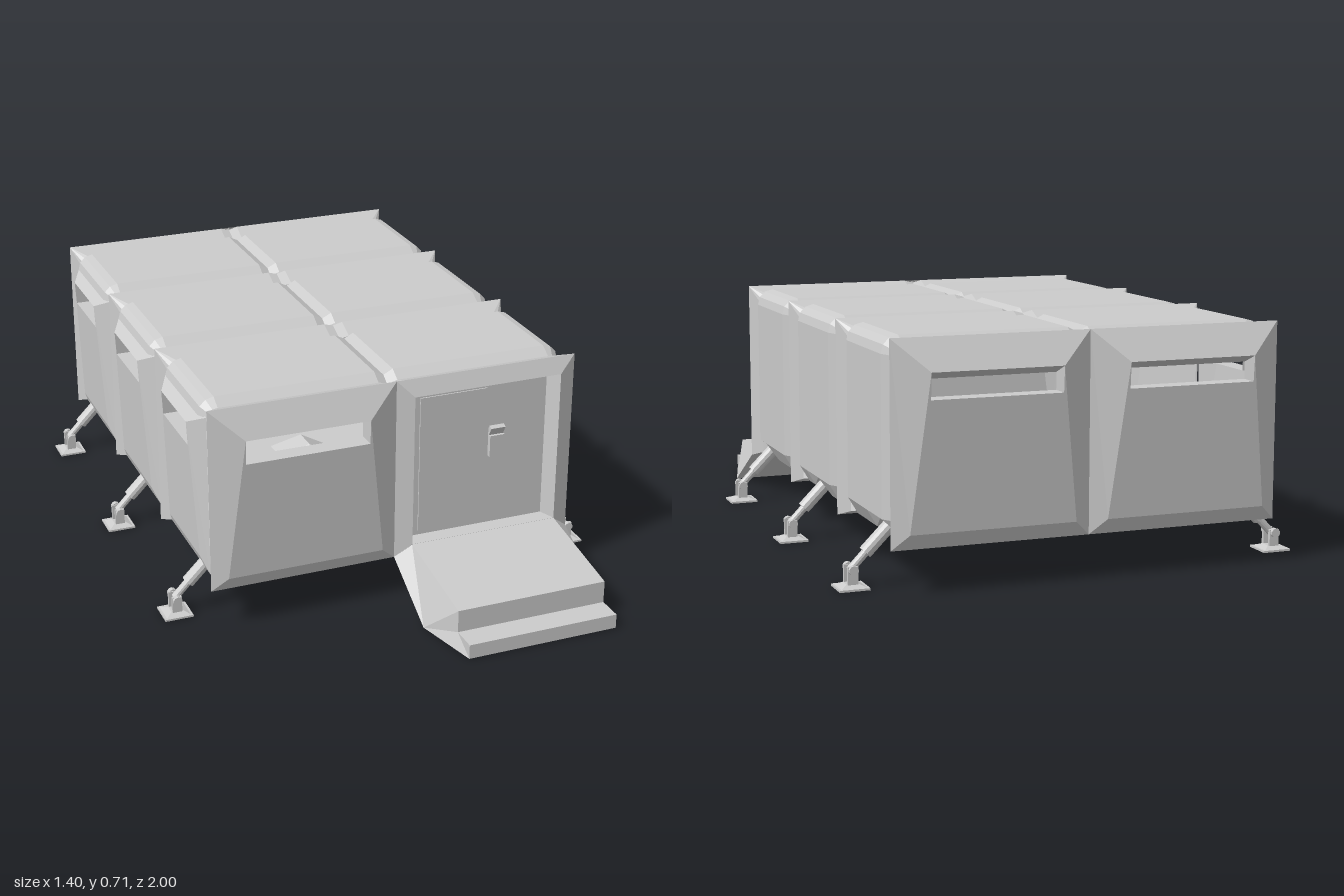
import * as THREE from 'three';

const material = new THREE.MeshStandardMaterial({ color: 0xcccccc, flatShading: true, side: THREE.DoubleSide });

function mesh(name, geometry, x = 0, y = 0, z = 0) {
  const m = new THREE.Mesh(geometry, material);
  m.name = name;
  m.position.set(x, y, z);
  return m;
}

// Flat-faced geometry from convex polygons of [x, y, z] corners
function faces(polygons) {
  const out = [];
  for (const p of polygons) {
    for (let i = 1; i < p.length - 1; i++) out.push(...p[0], ...p[i], ...p[i + 1]);
  }
  const g = new THREE.BufferGeometry();
  g.setAttribute('position', new THREE.Float32BufferAttribute(out, 3));
  g.computeVertexNormals();
  return g;
}

// Quads joining two loops of equal length
function band(a, b, closed = true) {
  const quads = [];
  for (let i = 0; i < a.length - (closed ? 0 : 1); i++) {
    const j = (i + 1) % a.length;
    quads.push([a[i], a[j], b[j], b[i]]);
  }
  return quads;
}

function loft(rings, closed) {
  return faces(rings.slice(1).flatMap((r, i) => band(rings[i], r, closed)));
}

const rect = (x0, x1, y0, y1, z) => [[x0, y0, z], [x1, y0, z], [x1, y1, z], [x0, y1, z]];

// Rounded corner, from the side up to the roof on the left (+x)
function corner(hx, yt, r) {
  return [0, 1, 2, 3].map(i => {
    const a = i * Math.PI / 6;
    return [hx - r + r * Math.cos(a), yt - r + r * Math.sin(a)];
  });
}

// Open section of a bay: floor, left wall and roof; dip raises the strut pockets
function baySection(z, hx, yt, r, dip) {
  const yb = 0.15, yp = yb + 0.05 * dip;
  const c = corner(hx, yt, r);
  const pts = [
    [-0.565, yp], [-0.47, yb], [-0.09, yb], [0, yp], [0.09, yb], [0.47, yb],
    [hx - 0.03, yp], [hx, yb + 0.05], ...c,
    [0.03, yt], [0, yt - 0.015], [-0.03, yt],
    ...c.slice().reverse().map(([x, y]) => [-x, y]),
  ];
  return pts.map(([x, y]) => [x, y, z]);
}

// Closed section of a rib
function ribSection(z, hx, yb, yt, r) {
  const c = corner(hx, yt, r);
  return [[-hx, yb], [hx, yb], ...c, [0.03, yt], [0, yt - 0.008], [-0.03, yt],
    ...c.slice().reverse().map(([x, y]) => [-x, y])].map(([x, y]) => [x, y, z]);
}
const ribValley = z => ribSection(z, 0.56, 0.15, 0.685, 0.03);
const ribPeak = z => ribSection(z, 0.585, 0.13, 0.71, 0.001);

// Bulged wall panel with a slot window under its brow; faces +z, base at y = 0
function windowPanel(name, o) {
  const w = o.w / 2, wt = w - o.insetTop, wb = w - o.insetBottom, yt = o.h - o.brow;
  const yb = 0.045, yw = yt - 0.075;
  const dw = o.depthBottom + (o.depthTop - o.depthBottom) * (yw - yb) / (yt - yb);
  const outer = rect(-w, w, 0, o.h, 0);
  const inner = [[-wb, yb, o.depthBottom], [wb, yb, o.depthBottom], [wt, yt, o.depthTop], [-wt, yt, o.depthTop]];
  const [bl, br, tr, tl] = inner;
  const wl = [-wt, yw, dw], wr = [wt, yw, dw];
  const reveal = rect(-wt, wt, yw, yt - 0.025, o.depthTop - 0.06);
  return mesh(name, faces([
    ...band(outer, inner),
    [bl, br, wr, wl], [bl, wl, tl], [br, tr, wr],
    ...band([wl, wr, tr, tl], reveal),
  ]));
}

// Door recess, door leaf and control box
function entrance() {
  const g = new THREE.Group();
  g.name = 'entrance';
  const outer = rect(0, 0.585, 0.13, 0.71, 0.565);
  const lip = rect(0.05, 0.53, 0.175, 0.66, 0.588);
  const back = rect(0.07, 0.51, 0.175, 0.64, 0.535);
  g.add(mesh('doorFrame', faces([...band(outer, lip), ...band(lip, back), back])));
  g.add(mesh('door', new THREE.BoxGeometry(0.22, 0.44, 0.006), 0.2, 0.41, 0.536));
  g.add(mesh('controlBox', new THREE.BoxGeometry(0.048, 0.07, 0.02), 0.343, 0.438, 0.54));
  const hood = mesh('controlBoxHood', new THREE.BoxGeometry(0.048, 0.035, 0.014), 0.343, 0.487, 0.54);
  hood.rotation.x = 0.5;
  g.add(hood);
  return g;
}

// Entry step with a sloped tread and flared sides
function entryStep() {
  const top = [[0.175, 0.585], [0.12, 0.92], [0.05, 0.92], [0.05, 1]];
  const low = [[0.13, 0.565, 0], [0.005, 0.79, 0], [0.005, 1, 0.05]];
  const L = x => (x === 0 ? 0.585 : 0.53);
  const tr = top.map(([y, z]) => [0.05, y, z]), tl = top.map(([y, z]) => [0.53, y, z]);
  const lr = low.map(([y, z, x]) => [x, y, z]), ll = low.map(([y, z, x]) => [L(x), y, z]);
  const side = (t, l) => [[t[0], l[0], l[1]], [t[0], l[1], t[1]], [t[1], l[1], t[2]], [t[2], l[1], l[2]], [t[2], l[2], t[3]]];
  return mesh('entryStep', faces([
    ...band(tr, tl, false), ...band(ll, lr, false),
    [tr[3], lr[2], ll[2], tl[3]],
    ...side(tr, lr), ...side(tl, ll).map(f => f.reverse()),
  ]));
}

// Cylinder between two points of the xy plane
function strut(name, a, b, r) {
  const p = new THREE.Vector3(...a, 0), d = new THREE.Vector3(...b, 0).sub(p);
  const m = mesh(name, new THREE.CylinderGeometry(r, r, d.length(), 12));
  m.position.copy(p).addScaledVector(d, 0.5);
  m.quaternion.setFromUnitVectors(new THREE.Vector3(0, 1, 0), d.normalize());
  return m;
}

// Stabiliser leg reaching out towards +x
function supportLeg() {
  const g = new THREE.Group();
  g.name = 'supportLeg';
  const pad = new THREE.CylinderGeometry(0.025, 0.062, 0.012, 4).rotateY(Math.PI / 4);
  g.add(mesh('footPad', pad, 0.657, 0.012, 0));
  g.add(mesh('footPlate', new THREE.BoxGeometry(0.088, 0.006, 0.088), 0.657, 0.006, 0));
  for (const s of [-1, 1]) {
    g.add(mesh('footBracket', new THREE.BoxGeometry(0.03, 0.05, 0.01), 0.657, 0.042, s * 0.019));
    const boss = new THREE.CylinderGeometry(0.014, 0.014, 0.016, 10).rotateX(Math.PI / 2);
    g.add(mesh('pivotBoss', boss, 0.657, 0.058, s * 0.026));
  }
  g.add(strut('legRod', [0.657, 0.056], [0.6, 0.115], 0.012));
  g.add(strut('legSleeve', [0.615, 0.1], [0.545, 0.17], 0.02));
  return g;
}

export function createModel() {
  const model = new THREE.Group();
  model.name = 'modularShelter';
  const bays = [[0.12, 0.5], [-0.39, 0.005], [-0.89, -0.505]];
  const legZ = [0.43, -0.19, -0.81];

  // Bays with their strut pockets, side windows and legs
  bays.forEach(([z0, z1], i) => {
    const a = z0 + 0.035, b = z1 - 0.035, zc = legZ[i];
    const dip = z => THREE.MathUtils.clamp((0.09 - Math.abs(z - zc)) / 0.05, 0, 1);
    const stops = [zc - 0.09, zc - 0.04, zc + 0.04, zc + 0.09].filter(z => z > a + 0.004 && z < b - 0.004);
    model.add(mesh('bay', loft([
      baySection(z0, 0.56, 0.685, 0.03, 0),
      ...[a, ...stops, b].map(z => baySection(z, 0.58, 0.707, 0.05, dip(z))),
      baySection(z1, 0.56, 0.685, 0.03, 0),
    ], false)));

    const panel = windowPanel('sideWindowPanel', {
      w: z1 - z0, h: 0.51, insetTop: 0.07, insetBottom: 0.04, brow: 0.035, depthTop: 0.04, depthBottom: 0.018,
    });
    panel.rotation.y = -Math.PI / 2;
    panel.position.set(-0.565, 0.15, (z0 + z1) / 2);
    model.add(panel);

    for (const turn of [0, Math.PI]) {
      const leg = supportLeg();
      leg.rotation.y = turn;
      leg.position.z = zc;
      model.add(leg);
    }
  });

  // Ribs between bays and half ribs at both ends
  for (const z of [0.063, -0.448]) {
    model.add(mesh('rib', loft([ribValley(z - 0.058), ribPeak(z), ribValley(z + 0.058)], true)));
  }
  model.add(mesh('frontRib', loft([ribValley(0.5), ribPeak(0.565)], true)));
  model.add(mesh('backRib', loft([ribPeak(-0.945), ribValley(-0.89)], true)));

  // End walls
  const end = { w: 0.585, h: 0.58, insetTop: 0.1, insetBottom: 0.048, brow: 0.09, depthTop: 0.047, depthBottom: 0.024 };
  const front = windowPanel('frontWindowPanel', end);
  front.position.set(-0.2925, 0.13, 0.565);
  model.add(front);
  for (const s of [-1, 1]) {
    const back = windowPanel('backWindowPanel', { ...end, depthTop: 0.055 });
    back.rotation.y = Math.PI;
    back.position.set(s * 0.2925, 0.13, -0.945);
    model.add(back);
  }

  model.add(entrance(), entryStep());
  return model;
}
